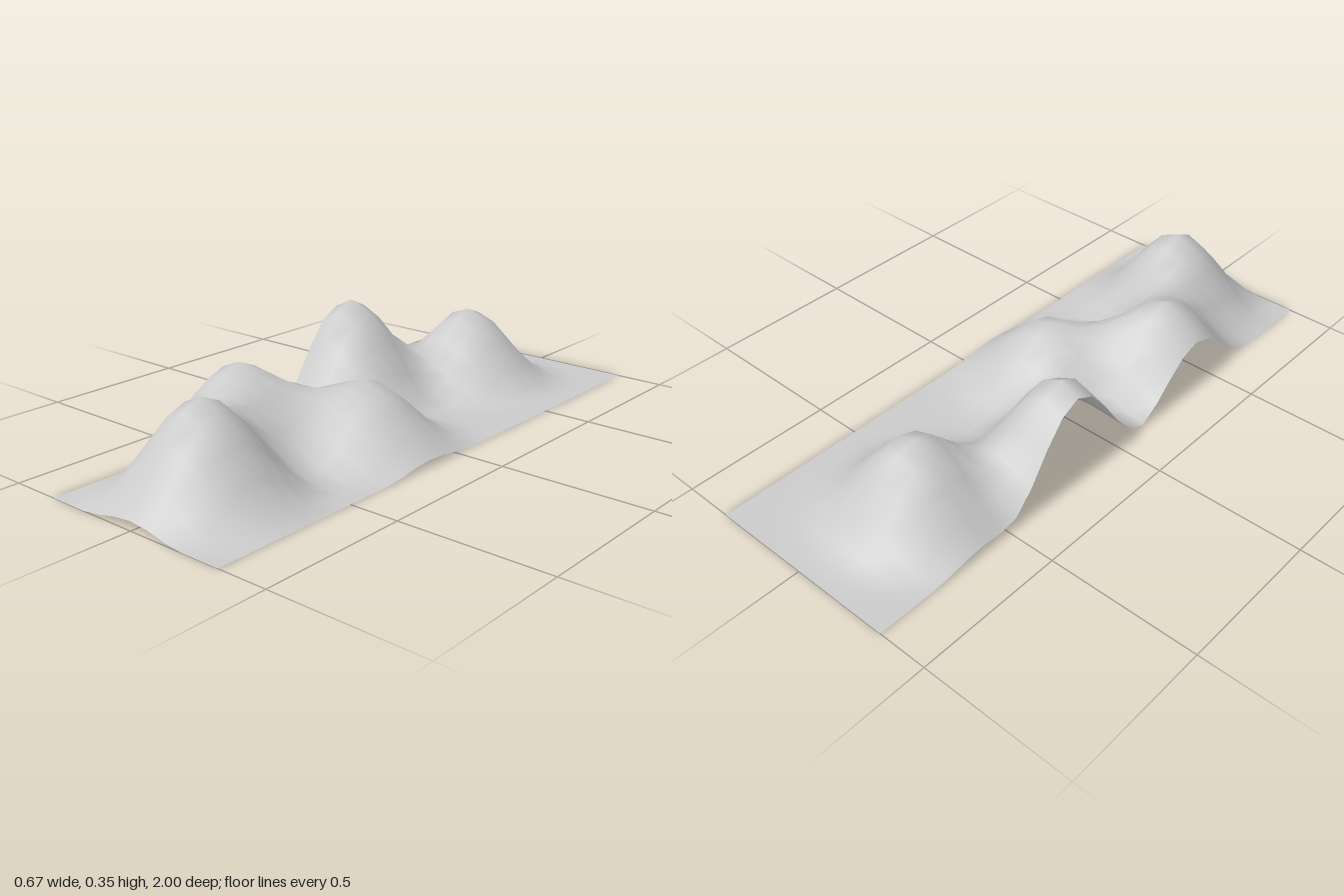
import * as THREE from 'three';

const CELL = 1 / 15;      // grid spacing
const RADIUS = 5 * CELL;  // reach of every hill

// Hills: x and z in grid cells from the centre, then peak height
const HILLS = [
  [0, 11, 0.305],
  [-3, 6, 0.283],
  [1, 2, 0.215],
  [-4, -3, 0.347],
  [-1, -9, 0.267],
];

// Sum of cosine-shaped bumps
function heightAt(x, z) {
  let y = 0;
  for (const [cx, cz, h] of HILLS) {
    const r = Math.hypot(x - cx * CELL, z - cz * CELL);
    if (r < RADIUS) y += h * 0.5 * (1 + Math.cos((Math.PI * r) / RADIUS));
  }
  return y;
}

export function createModel() {
  const group = new THREE.Group();
  group.name = 'hillyTerrain';

  // Flat strip of ground, raised by the hills
  const geometry = new THREE.PlaneGeometry(10 * CELL, 30 * CELL, 10, 30);
  geometry.rotateX(-Math.PI / 2);
  const pos = geometry.attributes.position;
  for (let i = 0; i < pos.count; i++) {
    pos.setY(i, heightAt(pos.getX(i), pos.getZ(i)));
  }
  geometry.computeVertexNormals();

  const material = new THREE.MeshStandardMaterial({ color: 0xcccccc, side: THREE.DoubleSide });
  const terrain = new THREE.Mesh(geometry, material);
  terrain.name = 'terrain';
  group.add(terrain);
  return group;
}
